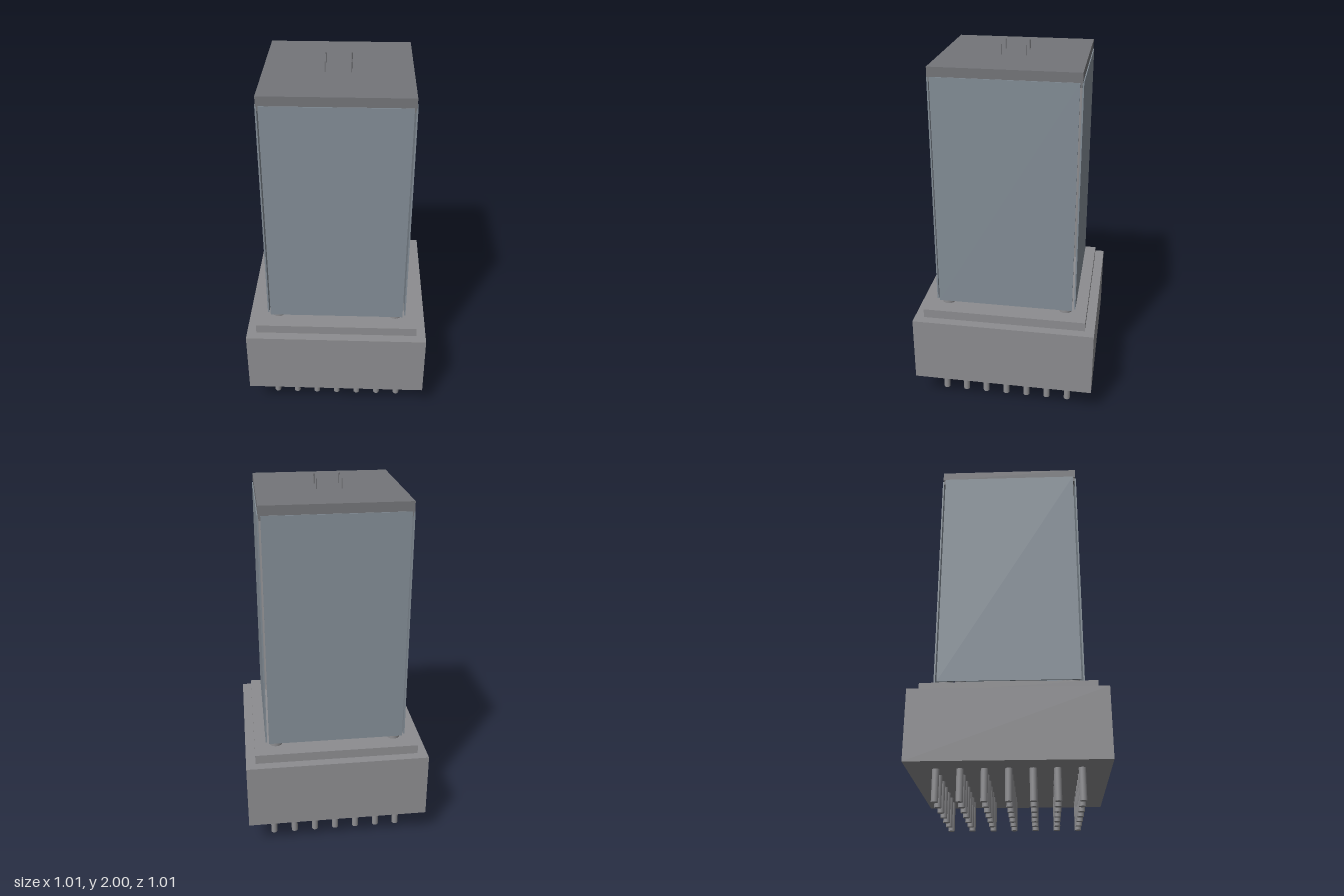
import * as THREE from 'three';

const concrete = new THREE.MeshStandardMaterial({ color: 0x8d8d90 });
const roofGrey = new THREE.MeshStandardMaterial({ color: 0x747579 });
const glass = new THREE.MeshStandardMaterial({ color: 0x838d96 });

export function createModel() {
  const model = new THREE.Group();
  model.name = 'towerOnPiles';

  const add = (name, geometry, material, x, y, z) => {
    const mesh = new THREE.Mesh(geometry, material);
    mesh.name = name;
    mesh.position.set(x, y, z);
    model.add(mesh);
    return mesh;
  };
  // Box and upright cylinder given by their bottom and top heights
  const box = (name, w, d, y0, y1, x = 0, z = 0, material = concrete) =>
    add(name, new THREE.BoxGeometry(w, y1 - y0, d), material, x, (y0 + y1) / 2, z);
  const post = (name, r, sides, y0, y1, x, z, material = concrete) =>
    add(name, new THREE.CylinderGeometry(r, r, y1 - y0, sides), material, x, (y0 + y1) / 2, z);

  // Foundation piles in a 7 x 7 grid
  for (let i = -3; i <= 3; i++)
    for (let j = -3; j <= 3; j++) post('pile', 0.018, 20, 0, 0.163, i * 0.12, j * 0.12);

  // Basement block and plinth
  box('basement', 1.01, 1.01, 0.163, 0.535);
  box('plinth', 0.905, 0.905, 0.535, 0.586);

  // Twin service cores
  for (const s of [-1, 1]) box('core', 0.13, 0.315, 0.586, 1.895, s * 0.093, 0);

  // Corner columns and roof masts
  for (const sx of [-1, 1])
    for (const sz of [-1, 1]) {
      post('cornerColumn', 0.035, 24, 0.586, 1.895, sx * 0.333, sz * 0.333);
      post('mast', 0.003, 8, 1.946, 2, sx * 0.067, sz * 0.066, roofGrey);
    }

  // Four glass curtain walls, open at the corners
  for (let k = 0; k < 4; k++) {
    const a = (k * Math.PI) / 2;
    const wall = box('glassWall', 0.746, 0.008, 0.618, 1.896,
      Math.sin(a) * 0.387, Math.cos(a) * 0.387, glass);
    wall.rotation.y = a;
  }

  // Roof slab with a shallow ring beam below it
  box('roofBeam', 0.764, 0.764, 1.87, 1.895, 0, 0, roofGrey);
  box('roof', 0.772, 0.772, 1.895, 1.946, 0, 0, roofGrey);

  return model;
}
